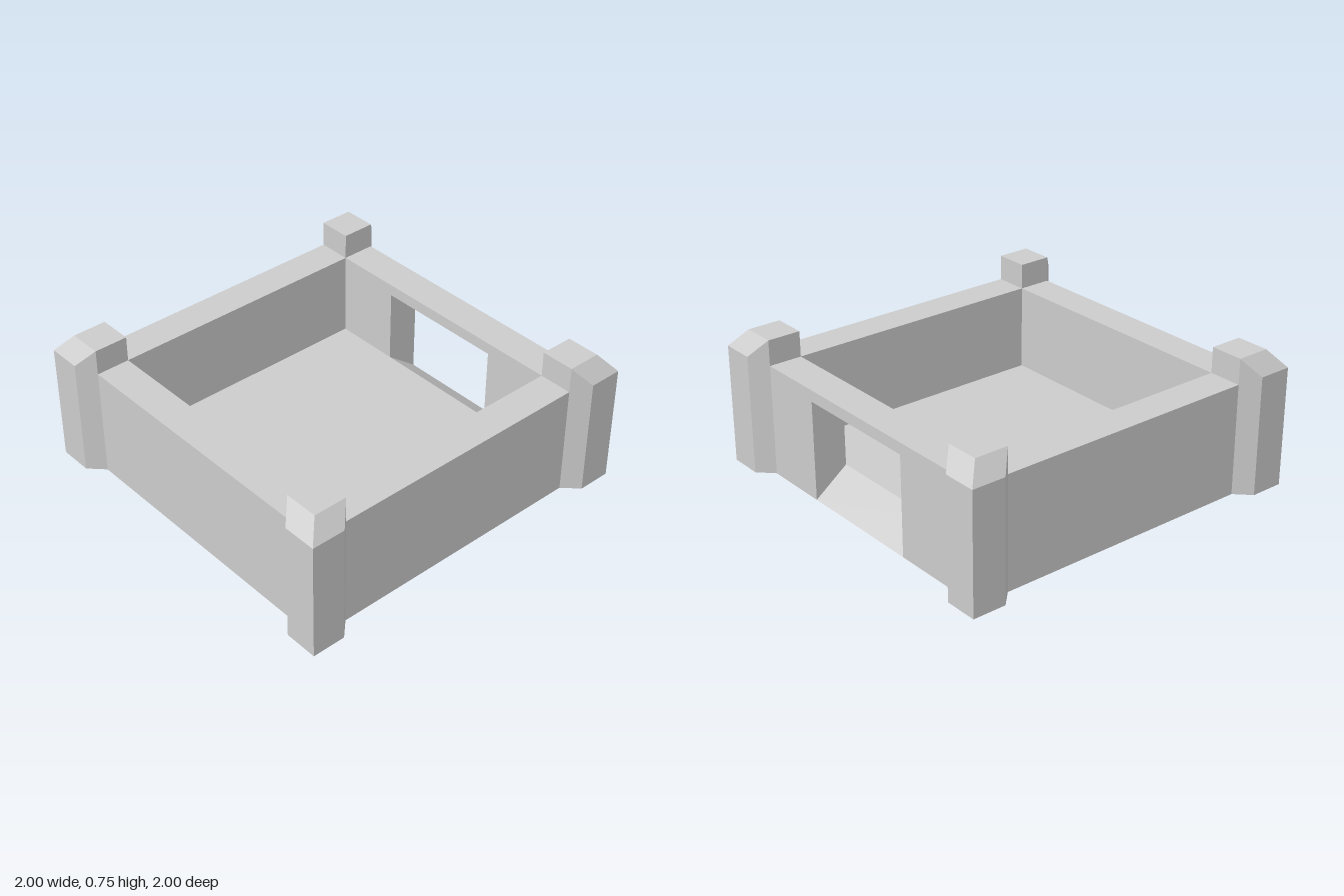
import * as THREE from 'three';
import { ConvexGeometry } from 'three/addons/geometries/ConvexGeometry.js';

const INNER = 0.735, OUTER = 0.92, EDGE = 1, STEP = 0.815; // plan distances from the centre
const WALL_H = 0.61, FLOOR_H = 0.14, POST_H = 0.75, SHOULDER_H = 0.655;
const DOOR_W = 0.365, DOOR_H = 0.547; // half width and lintel height

export function createModel() {
  const model = new THREE.Group();
  const material = new THREE.MeshStandardMaterial({ color: 0xcccccc, flatShading: true });
  const thick = OUTER - INNER;

  const add = (name, geometry, x = 0, y = 0, z = 0) => {
    const mesh = new THREE.Mesh(geometry, material);
    mesh.name = name;
    mesh.position.set(x, y, z);
    model.add(mesh);
    return mesh;
  };
  const hull = (points) => new ConvexGeometry(points.map((p) => new THREE.Vector3(...p)));

  // Raised floor slab
  add('floor', new THREE.BoxGeometry(INNER * 2, FLOOR_H, INNER * 2), 0, FLOOR_H / 2, 0);

  // Plain walls between the corner posts
  const mid = (INNER + OUTER) / 2;
  add('frontWall', new THREE.BoxGeometry(INNER * 2, WALL_H, thick), 0, WALL_H / 2, mid);
  add('leftWall', new THREE.BoxGeometry(thick, WALL_H, INNER * 2), mid, WALL_H / 2, 0);
  add('rightWall', new THREE.BoxGeometry(thick, WALL_H, INNER * 2), -mid, WALL_H / 2, 0);

  // Back wall with a doorway open down to the ground
  const outline = [
    [-INNER, 0], [-DOOR_W, 0], [-DOOR_W, DOOR_H], [DOOR_W, DOOR_H],
    [DOOR_W, 0], [INNER, 0], [INNER, WALL_H], [-INNER, WALL_H],
  ];
  const wallShape = new THREE.Shape(outline.map((p) => new THREE.Vector2(...p)));
  add('backWall', new THREE.ExtrudeGeometry(wallShape, { depth: thick, bevelEnabled: false }), 0, 0, -OUTER);

  // Ramp from the ground up to the floor inside the doorway
  add('doorRamp', hull([-DOOR_W, DOOR_W].flatMap((x) => [
    [x, 0, -OUTER], [x, 0, -INNER], [x, FLOOR_H, -INNER],
  ])));

  // Corner posts: chamfered hexagonal plan, top sloping down to the two outer sides
  const plan = [
    [INNER, INNER, POST_H], [OUTER, INNER, POST_H], [EDGE, STEP, SHOULDER_H],
    [EDGE, EDGE, SHOULDER_H], [STEP, EDGE, SHOULDER_H], [INNER, OUTER, POST_H],
  ];
  const corners = { frontLeft: [1, 1], frontRight: [-1, 1], backLeft: [1, -1], backRight: [-1, -1] };
  for (const [corner, [sx, sz]] of Object.entries(corners)) {
    const points = plan.flatMap(([x, z, h]) => [[sx * x, 0, sz * z], [sx * x, h, sz * z]]);
    points.push([sx * OUTER, POST_H, sz * OUTER]);
    add(corner + 'Post', hull(points));
  }

  return model;
}
